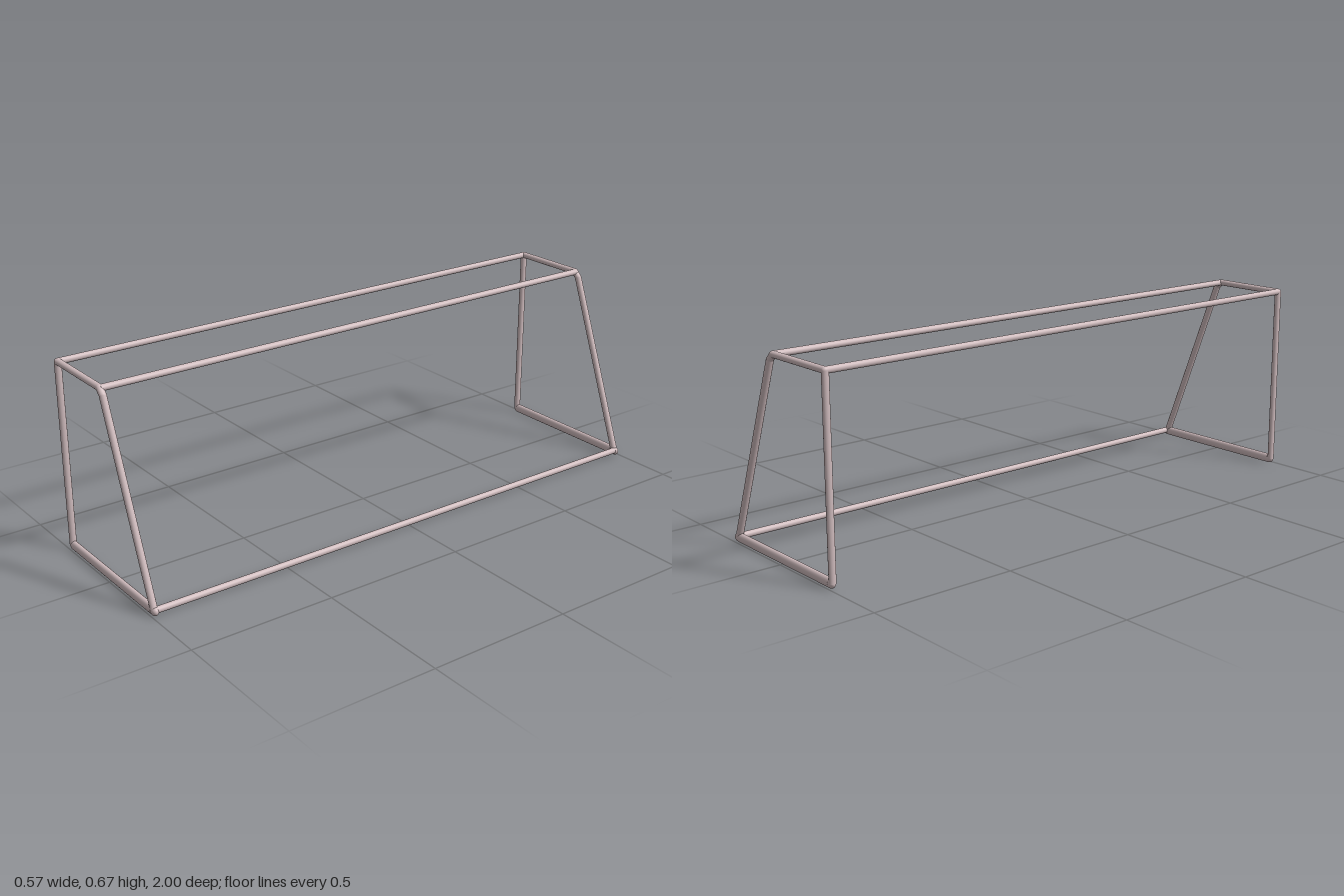
import * as THREE from 'three';

const material = new THREE.MeshStandardMaterial({ color: 0xd0bcbe });
const Z_AXIS = new THREE.Vector3(0, 0, 1);
const X_AXIS = new THREE.Vector3(1, 0, 0);
const END_Z = 0.988; // centre line of each end frame
const DEPTH = 0.012; // tube radius along z

// Oval tube from a to b: ru is the radius across, rw the radius along the other axis
function bar(name, a, b, ru, rw) {
  const dir = b.clone().sub(a);
  const length = dir.length();
  dir.normalize();
  const u = Math.abs(dir.z) > 0.9 ? X_AXIS.clone() : dir.clone().cross(Z_AXIS).normalize();
  const w = u.clone().cross(dir);
  const geometry = new THREE.CylinderGeometry(1, 1, length, 20);
  geometry.scale(ru, 1, rw);
  geometry.applyMatrix4(new THREE.Matrix4().makeBasis(u, dir, w));
  const mesh = new THREE.Mesh(geometry, material);
  mesh.name = name;
  mesh.position.copy(a).add(b).multiplyScalar(0.5);
  return mesh;
}

// Rounded corner where tubes meet
function joint(name, p, rx, ry) {
  const mesh = new THREE.Mesh(new THREE.SphereGeometry(1, 20, 14), material);
  mesh.name = name;
  mesh.scale.set(rx, ry, DEPTH);
  mesh.position.copy(p);
  return mesh;
}

// One end frame: upright post, roof bar, sloping stay and floor bar
function endFrame(z) {
  const group = new THREE.Group();
  group.name = 'endFrame';
  const at = (x, y) => new THREE.Vector3(x, y, z);
  const topFront = at(-0.2725, 0.659);
  const topRear = at(0.006, 0.659);
  const bend = at(0.025, 0.64);
  const bottomRear = at(0.264, 0.0185);
  const bottomFront = at(-0.2725, 0.0185);
  group.add(
    bar('post', bottomFront, topFront, 0.0108, DEPTH),
    bar('roofBar', topFront, topRear, 0.011, DEPTH),
    bar('stayBend', topRear, bend, 0.0115, DEPTH),
    bar('stay', bend, bottomRear, 0.0122, DEPTH),
    bar('floorBar', at(-0.262, 0.0182), at(0.258, 0.0182), 0.0165, DEPTH),
    joint('topFrontJoint', topFront, 0.0108, 0.011),
    joint('topRearJoint', topRear, 0.0115, 0.011),
    joint('bendJoint', bend, 0.012, 0.012),
    joint('bottomFrontJoint', at(-0.264, 0.0182), 0.0195, 0.0165),
    joint('bottomRearJoint', at(0.266, 0.0175), 0.017, 0.015)
  );
  return group;
}

export function createModel() {
  const model = new THREE.Group();
  model.name = 'goalFrame';
  for (const side of [-1, 1]) model.add(endFrame(side * END_Z));

  // Long bars joining the two end frames
  const longBar = (name, x, y, rx, ry) => model.add(
    bar(name, new THREE.Vector3(x, y, -END_Z), new THREE.Vector3(x, y, END_Z), rx, ry)
  );
  longBar('crossbar', -0.2725, 0.659, 0.0105, 0.011);
  longBar('rearTopBar', 0.009, 0.658, 0.0125, 0.011);
  longBar('rearGroundBar', 0.268, 0.02, 0.011, 0.011);
  return model;
}
